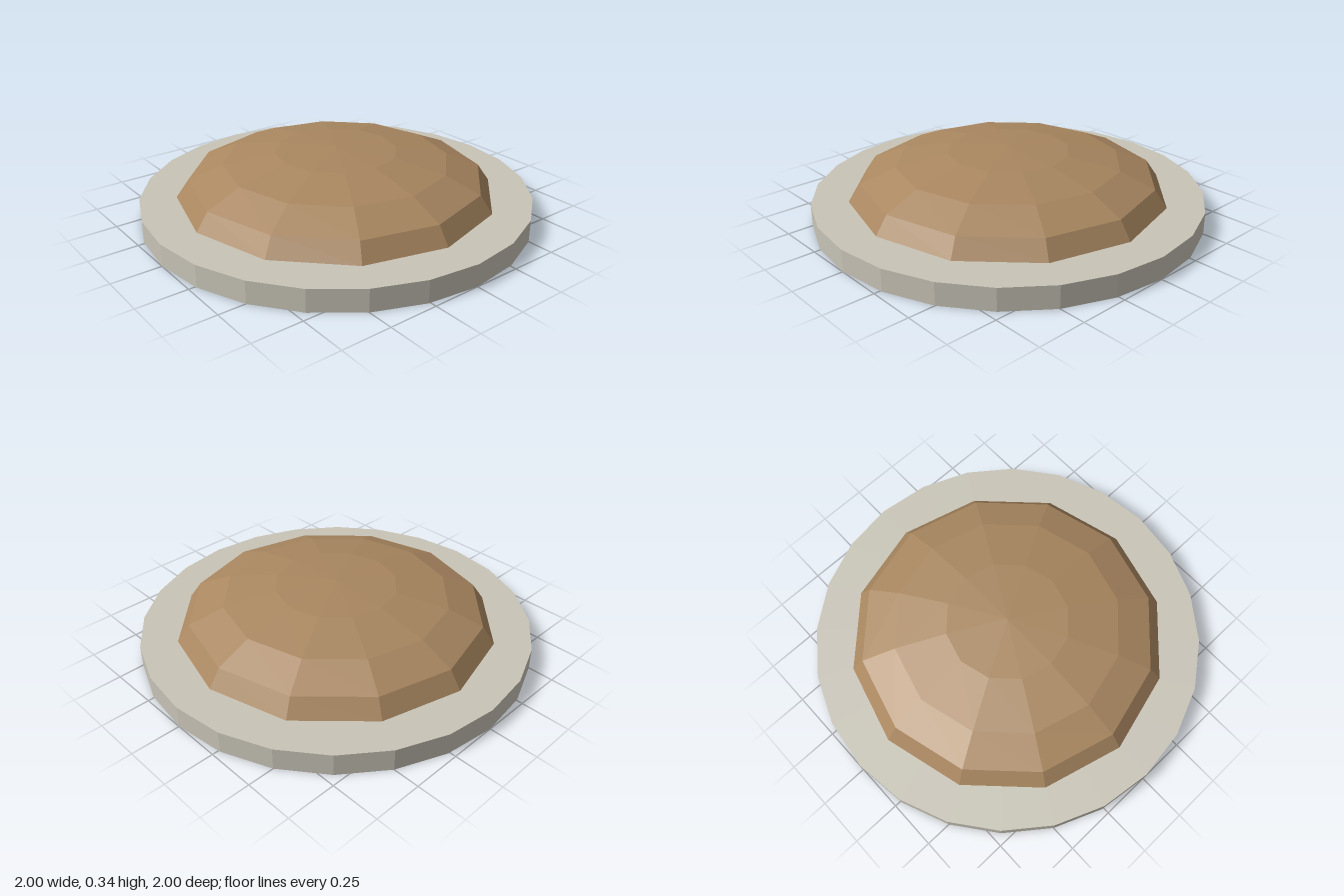
import * as THREE from 'three';

const RIM_HEIGHT = 0.113;
const SIDES = 24;

function material(color, side = THREE.FrontSide) {
  return new THREE.MeshStandardMaterial({ color, side, flatShading: true });
}

function addPart(group, name, geometry, mat) {
  const mesh = new THREE.Mesh(geometry, mat);
  mesh.name = name;
  group.add(mesh);
  return mesh;
}

export function createModel() {
  const model = new THREE.Group();
  model.name = 'domedDisc';
  const stone = 0xc8c4b7;
  const earth = 0xa98760;

  // Low rim wall, open underneath
  const wall = new THREE.CylinderGeometry(1, 1, RIM_HEIGHT, SIDES, 1, true);
  wall.translate(0, RIM_HEIGHT / 2, 0);
  addPart(model, 'rimWall', wall, material(stone, THREE.DoubleSide));

  // Flat top of the rim
  const top = new THREE.CircleGeometry(1, SIDES);
  top.rotateX(-Math.PI / 2);
  top.translate(0, RIM_HEIGHT, 0);
  addPart(model, 'rimTop', top, material(stone));

  // Underside, recessed inside the rim wall
  const under = new THREE.CircleGeometry(1, SIDES);
  under.rotateX(Math.PI / 2);
  under.translate(0, RIM_HEIGHT - 0.001, 0);
  addPart(model, 'underside', under, material(earth));

  // Flattened, faceted half dome
  const dome = new THREE.SphereGeometry(1, 12, 4, 0, Math.PI * 2, 0, Math.PI / 2);
  dome.scale(0.815, 0.232, 0.815);
  dome.translate(0, RIM_HEIGHT, 0);
  addPart(model, 'dome', dome, material(earth));

  return model;
}
